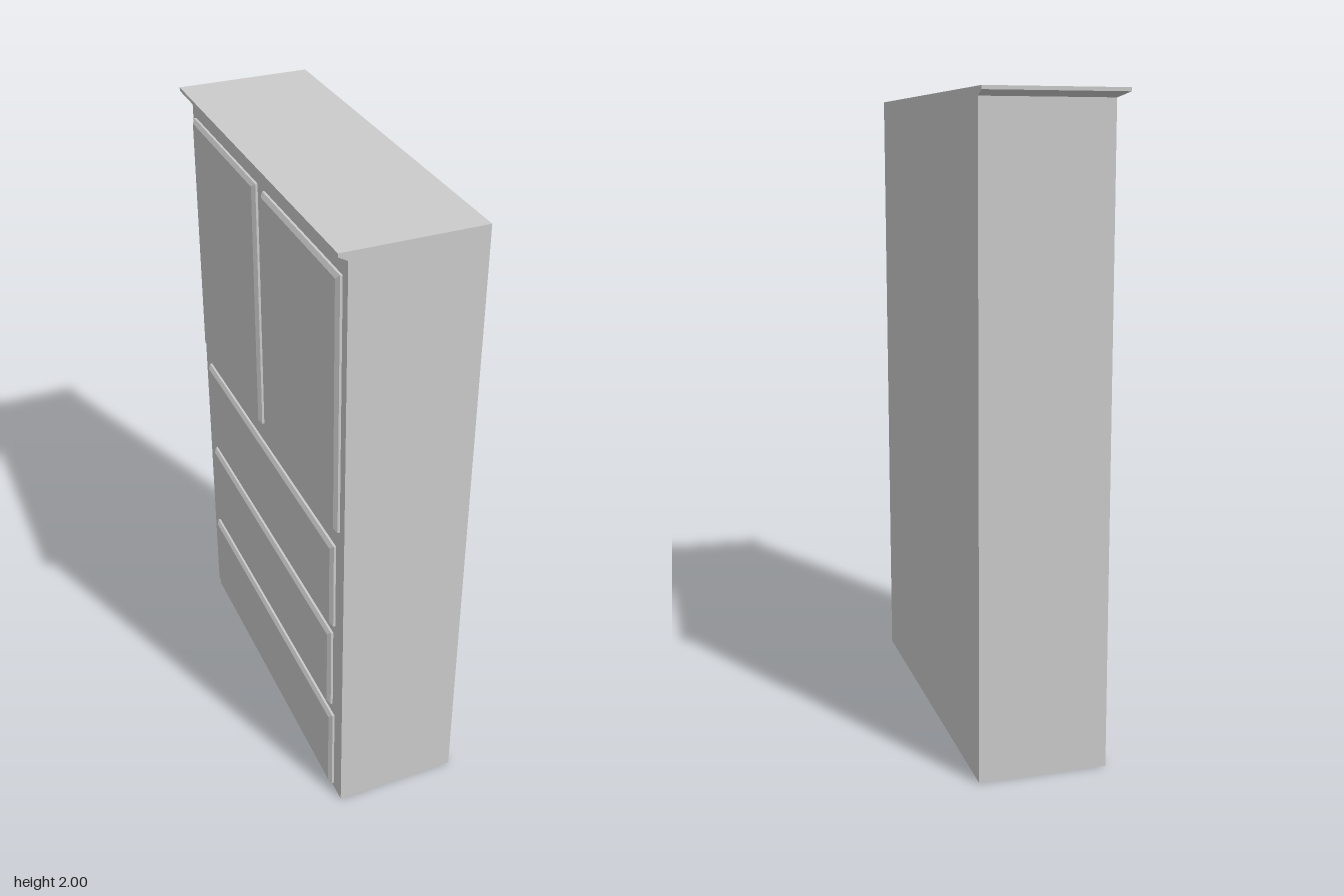
import * as THREE from 'three';

const material = new THREE.MeshStandardMaterial({ color: 0xcccccc, flatShading: true });

// Skin a stack of four-cornered rings, each counter-clockwise seen from the last one, and cap both ends
function loft(rings) {
  const pos = [];
  const quad = (a, b, c, d) => [a, b, c, a, c, d].forEach((p) => pos.push(...p));
  for (let i = 0; i < rings.length - 1; i++) {
    for (let j = 0; j < 4; j++) {
      const k = (j + 1) % 4;
      quad(rings[i][j], rings[i][k], rings[i + 1][k], rings[i + 1][j]);
    }
  }
  quad(...rings[rings.length - 1]);
  quad(...[...rings[0]].reverse());
  const geometry = new THREE.BufferGeometry();
  geometry.setAttribute('position', new THREE.Float32BufferAttribute(pos, 3));
  geometry.computeVertexNormals();
  return geometry;
}

// Horizontal ring at height y, and upright ring facing -x
const flatRing = (y, x0, x1, z0, z1) => [[x0, y, z1], [x1, y, z1], [x1, y, z0], [x0, y, z0]];
const uprightRing = (x, z0, z1, y0, y1) => [[x, y0, z0], [x, y0, z1], [x, y1, z1], [x, y1, z0]];

export function createModel() {
  const group = new THREE.Group();
  const add = (name, geometry) => {
    const mesh = new THREE.Mesh(geometry, material);
    mesh.name = name;
    group.add(mesh);
  };

  const X0 = -0.185, X1 = 0.213, Z0 = -0.585, Z1 = 0.622;

  // Carcass
  add('carcass', loft([flatRing(0, X0, X1, Z0, Z1), flatRing(1.974, X0, X1, Z0, Z1)]));

  // Cornice flares over the door side and one end, flush on the other two
  add('cornice', loft([
    flatRing(1.974, X0, X1, Z0, Z1),
    flatRing(1.989, -0.213, X1, -0.622, Z1),
    flatRing(2, -0.213, X1, -0.622, Z1),
  ]));

  // Raised panels with a chamfered rim: name, z range, y range
  const panels = [
    ['leftDoor', -0.555, -0.01, 1.1, 1.92],
    ['rightDoor', 0.045, 0.59, 1.1, 1.92],
    ['topDrawer', -0.53, 0.565, 0.72, 1.03],
    ['middleDrawer', -0.515, 0.55, 0.375, 0.68],
    ['bottomDrawer', -0.53, 0.565, 0.018, 0.335],
  ];
  for (const [name, z0, z1, y0, y1] of panels) {
    const ring = (x, inset) => uprightRing(x, z0 + inset, z1 - inset, y0 + inset, y1 - inset);
    add(name, loft([ring(X0, 0), ring(-0.192, 0), ring(-0.201, 0.012)]));
  }
  return group;
}
